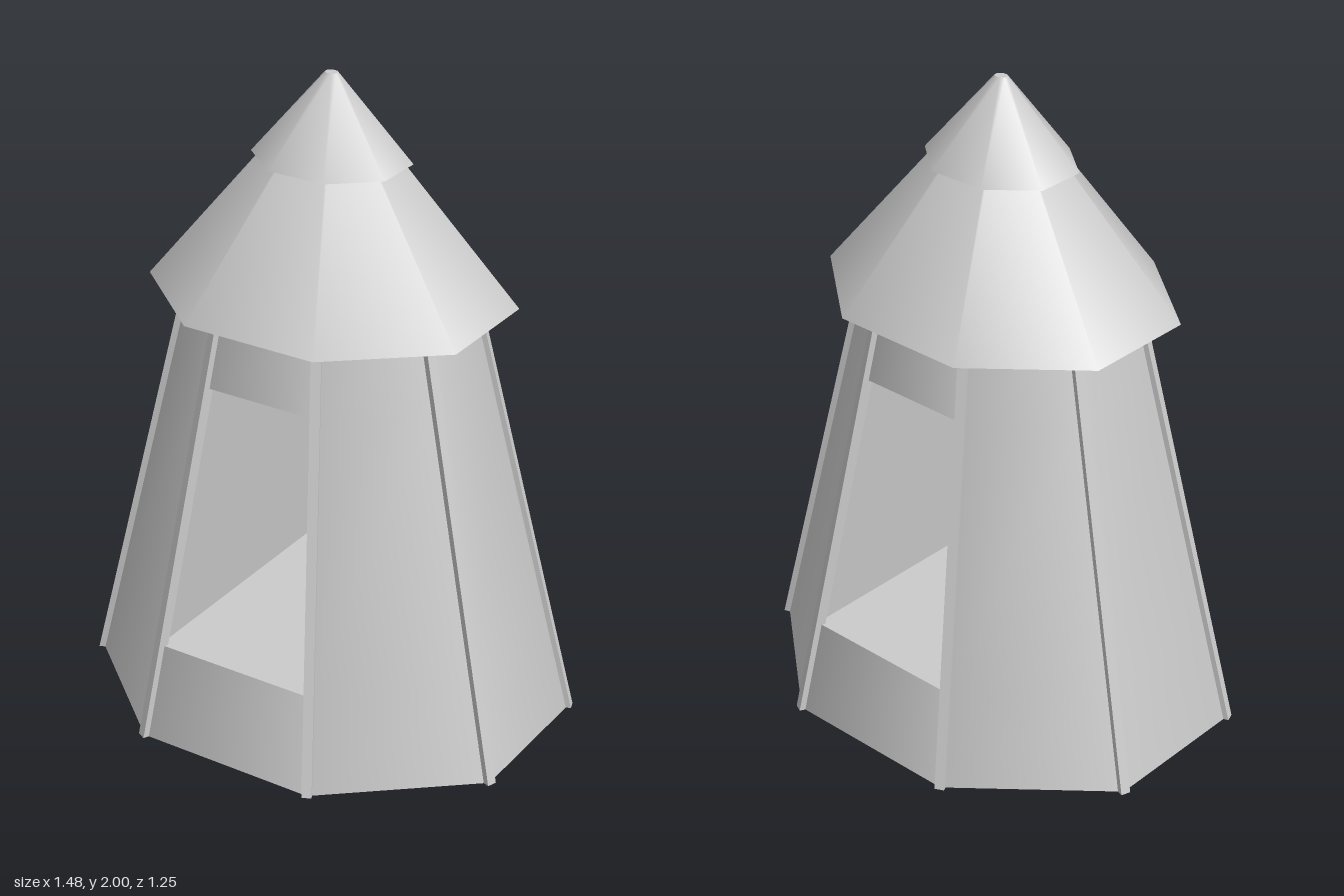
import * as THREE from 'three';

const RX = 0.775, RZ = 0.65;          // base half axes of the octagon
const TURN = THREE.MathUtils.degToRad(20.3);
const STEP = Math.PI / 4;
const EAVE = 1.325, SILL = 0.3, LINTEL = 1.115;

const taper = (y) => 1 - 0.42 * y / 1.32;
const corner = (i, y) => {
  const t = TURN + i * STEP;
  return new THREE.Vector3(RX * Math.cos(t) * taper(y), y, RZ * Math.sin(t) * taper(y));
};

export function createModel() {
  const group = new THREE.Group();
  const material = new THREE.MeshStandardMaterial({ color: 0xcccccc });
  const thin = new THREE.MeshStandardMaterial({ color: 0xcccccc, side: THREE.DoubleSide });
  const add = (name, geometry, mat = material) => {
    const mesh = new THREE.Mesh(geometry, mat);
    mesh.name = name;
    group.add(mesh);
  };

  // Stretched eight-sided frustum whose corners line up with corner()
  const frustum = (y0, y1, r0, r1, sx, sz, open = false, first = 0, sides = 8) => {
    const start = Math.PI / 2 - TURN - (first + sides) * STEP;
    return new THREE.CylinderGeometry(r1, r0, y1 - y0, sides, 1, open, start, sides * STEP)
      .translate(0, (y0 + y1) / 2, 0).scale(sx, 1, sz);
  };
  const wall = (y0, y1, ...rest) => frustum(y0, y1, taper(y0), taper(y1), RX, RZ, ...rest);

  // Solid base and head, with a passage between them from front to back
  add('base', wall(0, SILL));
  add('head', wall(LINTEL, EAVE));
  for (const [side, first] of [['left', 6], ['right', 2]]) {
    add(side + 'Wall', wall(SILL, LINTEL, true, first, 3), thin);
    const quad = [corner(first, SILL), corner(first + 3, SILL), corner(first + 3, LINTEL), corner(first, LINTEL)];
    const inner = new THREE.BufferGeometry().setFromPoints(quad);
    inner.setIndex([0, 1, 2, 0, 2, 3]);
    inner.computeVertexNormals();
    add(side + 'PassageWall', inner, thin);
  }

  // Leaning posts over the eight corners
  for (let i = 0; i < 8; i++) {
    const foot = corner(i, 0);
    const post = new THREE.BoxGeometry(0.03, EAVE, 0.03)
      .translate(0, EAVE / 2, -0.004)
      .rotateY(Math.atan2(foot.x, foot.z));
    const pos = post.attributes.position;
    for (let v = 0; v < pos.count; v++) {
      const c = corner(i, pos.getY(v));
      pos.setX(v, pos.getX(v) + c.x);
      pos.setZ(v, pos.getZ(v) + c.z);
    }
    post.computeVertexNormals();
    add('post', post);
  }

  // Two-tier roof
  add('roof', frustum(1.325, 1.985, 1, 0.025, 0.575, 0.48));
  add('roofCap', frustum(1.742, 2, 1, 0.085, 0.247, 0.207));

  return group;
}
